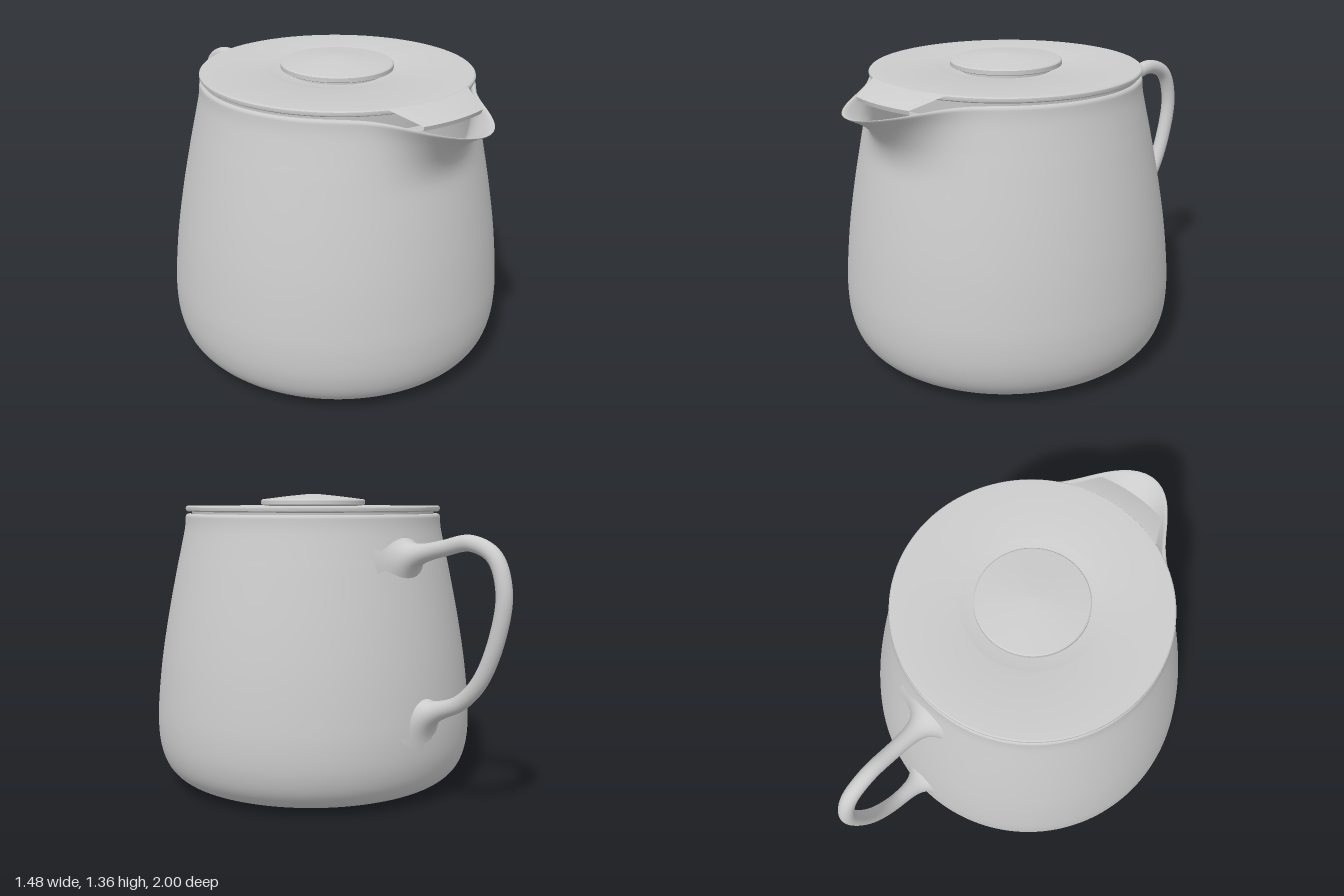
import * as THREE from 'three';
import { mergeVertices, toCreasedNormals } from 'three/addons/utils/BufferGeometryUtils.js';

const CENTRE_Z = 0.15;      // axis of the pot
const SPOUT_ANGLE = 0.042;  // spout direction, measured from +z
const HANDLE_X = 0.035;

const v2 = ([x, y]) => new THREE.Vector2(x, y);

// Weld seams and recompute smooth normals
function smooth(geo) {
  geo.deleteAttribute('uv');
  geo.deleteAttribute('normal');
  const welded = mergeVertices(geo, 1e-5);
  welded.computeVertexNormals();
  return welded;
}

// Pull a ring of the pot outwards and down into a pouring lip
function spoutBump(angle) {
  const d = (angle - SPOUT_ANGLE) / 0.325;
  return Math.exp(-d * d);
}

function bodyGeometry() {
  const outer = new THREE.SplineCurve([
    [0.46, 0], [0.55, 0.008], [0.64, 0.04], [0.7, 0.1], [0.732, 0.19], [0.741, 0.3], [0.735, 0.42],
    [0.715, 0.6], [0.682, 0.8], [0.642, 1.0], [0.62, 1.1], [0.599, 1.2], [0.594, 1.255],
  ].map(v2)).getPoints(72);
  const rim = [[0.59, 1.263], [0.583, 1.266], [0.576, 1.263], [0.572, 1.255]].map(v2);
  const inner = [[0.575, 1.22], [0.58, 1.18], [0.59, 1.1], [0.612, 1.0], [0.65, 0.8],
    [0.7, 0.4], [0.7, 0.2], [0.6, 0.06], [0, 0.04]].map(v2);
  const profile = [v2([0, 0]), v2([0.25, 0]), ...outer, ...rim, ...inner];
  const geo = new THREE.LatheGeometry(profile, 160, Math.PI);
  const p = geo.attributes.position;
  for (let i = 0; i < p.count; i++) {
    const x = p.getX(i), y = p.getY(i), z = p.getZ(i);
    const t = Math.max(0, (y - 0.95) / 0.315);
    const r = Math.hypot(x, z);
    if (t === 0 || r < 0.1) continue;
    const w = t * t * spoutBump(Math.atan2(x, z));
    const k = (r + 0.26 * w) / r;
    p.setXYZ(i, x * k, y - 0.045 * w, z * k);
  }
  return smooth(geo);
}

// Round tube whose ends flare into the body
function handleGeometry() {
  const path = new THREE.CatmullRomCurve3([
    [-0.44, 1.078], [-0.55, 1.105], [-0.66, 1.13], [-0.8, 1.155], [-0.915, 1.105], [-0.965, 0.97],
    [-0.94, 0.79], [-0.86, 0.6], [-0.76, 0.495], [-0.65, 0.446], [-0.54, 0.408],
  ].map(([z, y]) => new THREE.Vector3(HANDLE_X, y, z)));
  const rings = 140, sides = 32;
  const geo = new THREE.TubeGeometry(path, rings, 1, sides);
  const p = geo.attributes.position, length = path.getLength(), v = new THREE.Vector3();
  for (let i = 0; i <= rings; i++) {
    const u = i / rings, c = path.getPointAt(u);
    const d = Math.min(u, 1 - u) * length;
    const flare = 0.115 * Math.exp(-d / 0.042);
    for (let j = 0; j <= sides; j++) {
      const n = i * (sides + 1) + j;
      v.fromBufferAttribute(p, n).sub(c).multiplyScalar(0.034 + flare);
      v.x *= 1 + 2 * flare;
      v.add(c);
      p.setXYZ(n, v.x, v.y, v.z);
    }
  }
  return smooth(geo);
}

// Sloping tongue of the lid that dips into the spout
function flapGeometry() {
  const cols = 24, rows = [[0.585, 1.3, 0.4], [0.595, 1.299, 0.39], [0.705, 1.253, 0.235], [0.7, 1.235, 0.235], [0.56, 1.2, 0.36]];
  const pos = [], index = [];
  rows.forEach(([r, y, half], i) => {
    for (let j = 0; j <= cols; j++) {
      const a = SPOUT_ANGLE + half * (j / cols * 2 - 1);
      pos.push(r * Math.sin(a), y, r * Math.cos(a));
      if (i && j) {
        const n = i * (cols + 1) + j, m = n - cols - 1;
        index.push(m - 1, n - 1, n, m - 1, n, m);
      }
    }
  });
  const geo = new THREE.BufferGeometry();
  geo.setAttribute('position', new THREE.Float32BufferAttribute(pos, 3));
  geo.setIndex(index);
  return toCreasedNormals(geo, 0.4);
}

export function createModel() {
  const group = new THREE.Group();
  const grey = new THREE.MeshStandardMaterial({ color: 0xcccccc });
  const greyThin = new THREE.MeshStandardMaterial({ color: 0xcccccc, side: THREE.DoubleSide });
  const add = (name, geo, z = CENTRE_Z, material = grey) => {
    const mesh = new THREE.Mesh(geo, material);
    mesh.name = name;
    mesh.position.z = z;
    group.add(mesh);
  };
  const turned = (points) =>
    toCreasedNormals(new THREE.LatheGeometry(points.map(v2), 128, Math.PI), 0.5);

  add('body', bodyGeometry());
  add('handle', handleGeometry(), 0);

  // Lid: plug, rounded edge, flat top and shallow dish around the knob
  add('lid', turned([
    [0, 1.19], [0.555, 1.19], [0.565, 1.275], [0.585, 1.276], [0.592, 1.281], [0.594, 1.288],
    [0.593, 1.296], [0.588, 1.301], [0.304, 1.301], [0.298, 1.299], [0.2, 1.285], [0, 1.285],
  ]));
  add('lidFlap', flapGeometry(), CENTRE_Z, greyThin);
  add('lidKnob', turned([
    [0, 1.27], [0.2, 1.27], [0.2, 1.3], [0.236, 1.304], [0.244, 1.308], [0.244, 1.326],
    [0.238, 1.331], [0.12, 1.346], [0.03, 1.355], [0, 1.356],
  ]));
  return group;
}
